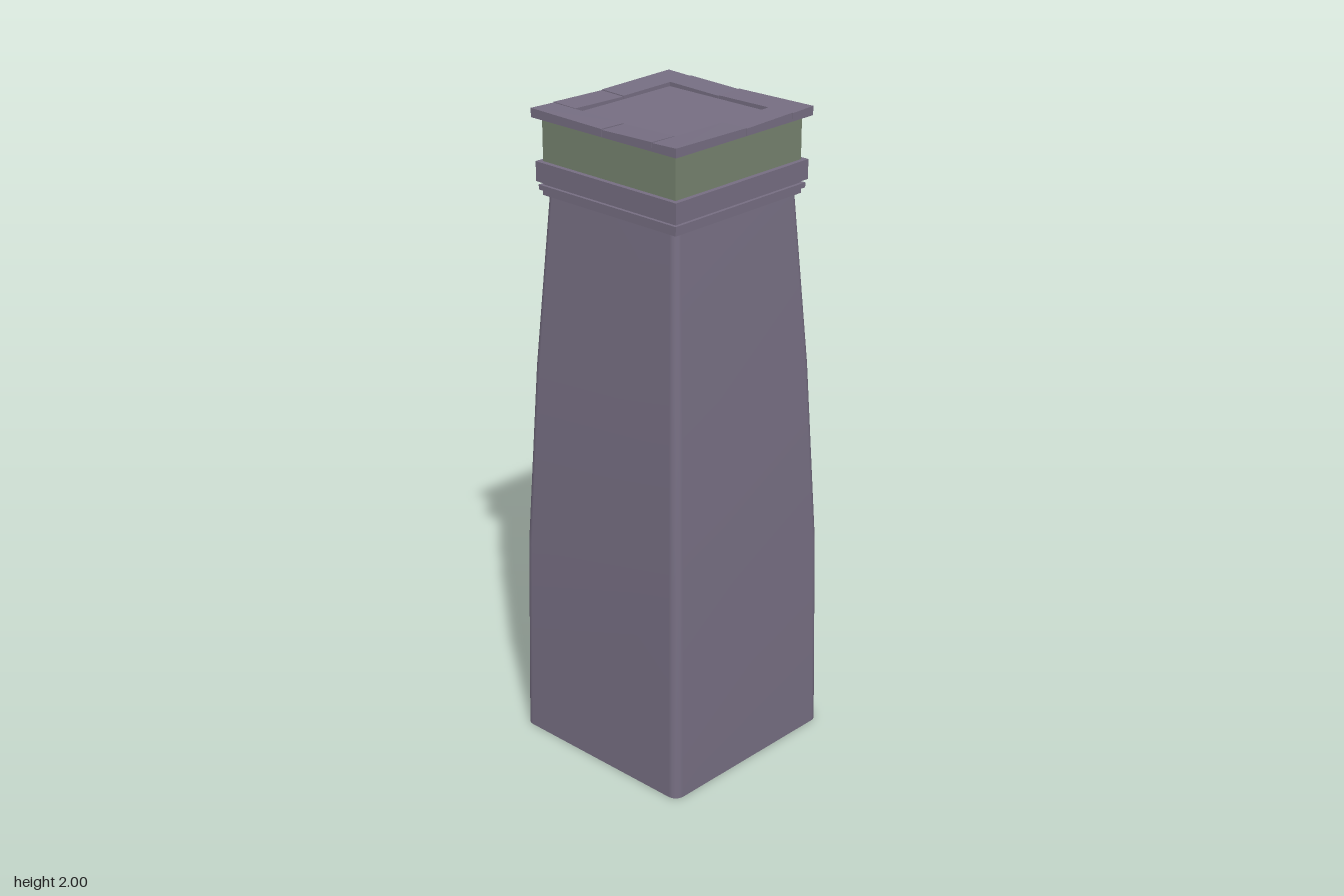
import * as THREE from 'three';

const stone = new THREE.MeshStandardMaterial({ color: 0x766e82, side: THREE.DoubleSide });
const green = new THREE.MeshStandardMaterial({ color: 0x76836f });

// Rounded square outline at height y
function ring(y, half, r, seg = 4) {
  const pts = [];
  for (let c = 0; c < 4; c++) {
    const mid = Math.PI / 4 + c * Math.PI / 2;
    const cx = Math.sign(Math.cos(mid)) * (half - r);
    const cz = Math.sign(Math.sin(mid)) * (half - r);
    for (let i = 0; i <= seg; i++) {
      const a = c * Math.PI / 2 + (i / seg) * Math.PI / 2;
      pts.push(cx + r * Math.cos(a), y, cz + r * Math.sin(a));
    }
  }
  return pts;
}

// Open tube joining the outlines from bottom to top
function loft(rings) {
  const n = rings[0].length / 3;
  const index = [];
  for (let k = 0; k < rings.length - 1; k++) {
    for (let i = 0; i < n; i++) {
      const a = k * n + i, b = k * n + (i + 1) % n;
      index.push(a, a + n, b, b, a + n, b + n);
    }
  }
  const geo = new THREE.BufferGeometry();
  geo.setAttribute('position', new THREE.Float32BufferAttribute(rings.flat(), 3));
  geo.setIndex(index);
  geo.computeVertexNormals();
  return geo;
}

// Square block between two heights
function block(name, y0, y1, half, material) {
  const mesh = new THREE.Mesh(new THREE.BoxGeometry(half * 2, y1 - y0, half * 2), material);
  mesh.position.y = (y0 + y1) / 2;
  mesh.name = name;
  return mesh;
}

// Rim slab whose top corners are worn down by differing amounts
function slab(x0, x1, z0, z1, drops) {
  const y0 = 1.973, y1 = 2;
  const geo = new THREE.BoxGeometry(x1 - x0, y1 - y0, z1 - z0);
  geo.translate((x0 + x1) / 2, (y0 + y1) / 2, (z0 + z1) / 2);
  const p = geo.attributes.position;
  for (let i = 0; i < p.count; i++) {
    if (p.getY(i) < (y0 + y1) / 2) continue;
    const right = p.getX(i) > (x0 + x1) / 2 ? 1 : 0;
    const front = p.getZ(i) > (z0 + z1) / 2 ? 2 : 0;
    p.setY(i, y1 - drops[right + front]);
  }
  const flat = geo.toNonIndexed();
  flat.computeVertexNormals();
  return new THREE.Mesh(flat, stone);
}

export function createModel() {
  const model = new THREE.Group();

  // Tapering hollow shaft, open underneath
  const shaft = new THREE.Mesh(loft([
    ring(0, 0.327, 0.03), ring(0.64, 0.317, 0.029),
    ring(1.22, 0.289, 0.026), ring(1.755, 0.252, 0.022),
  ]), stone);
  shaft.name = 'shaft';
  model.add(shaft);

  // Stepped mouldings, collar and coloured neck
  model.add(
    block('lowerMoulding', 1.745, 1.761, 0.26, stone),
    block('ringMoulding', 1.761, 1.776, 0.268, stone),
    block('mouldingGroove', 1.776, 1.786, 0.258, stone),
    block('collar', 1.786, 1.845, 0.273, stone),
    block('neck', 1.845, 1.974, 0.258, green),
    block('capPanel', 1.974, 1.984, 0.2, stone),
  );

  // Cap rim: a long and a short slab per side, turning like a pinwheel
  const rim = new THREE.Group();
  rim.name = 'capRim';
  const gap = 0.001, inner = 0.192, outer = 0.28;
  for (let i = 0; i < 4; i++) {
    const side = new THREE.Group();
    side.name = 'rimSide';
    const long = slab(-outer, -gap, inner, outer, [0.003, 0.006, 0, 0.004]);
    const short = slab(gap, inner - gap, inner, outer, [0.008, 0.003, 0.006, 0.001]);
    long.name = 'longSlab';
    short.name = 'shortSlab';
    side.add(long, short);
    side.rotation.y = i * Math.PI / 2;
    rim.add(side);
  }
  model.add(rim);
  return model;
}
